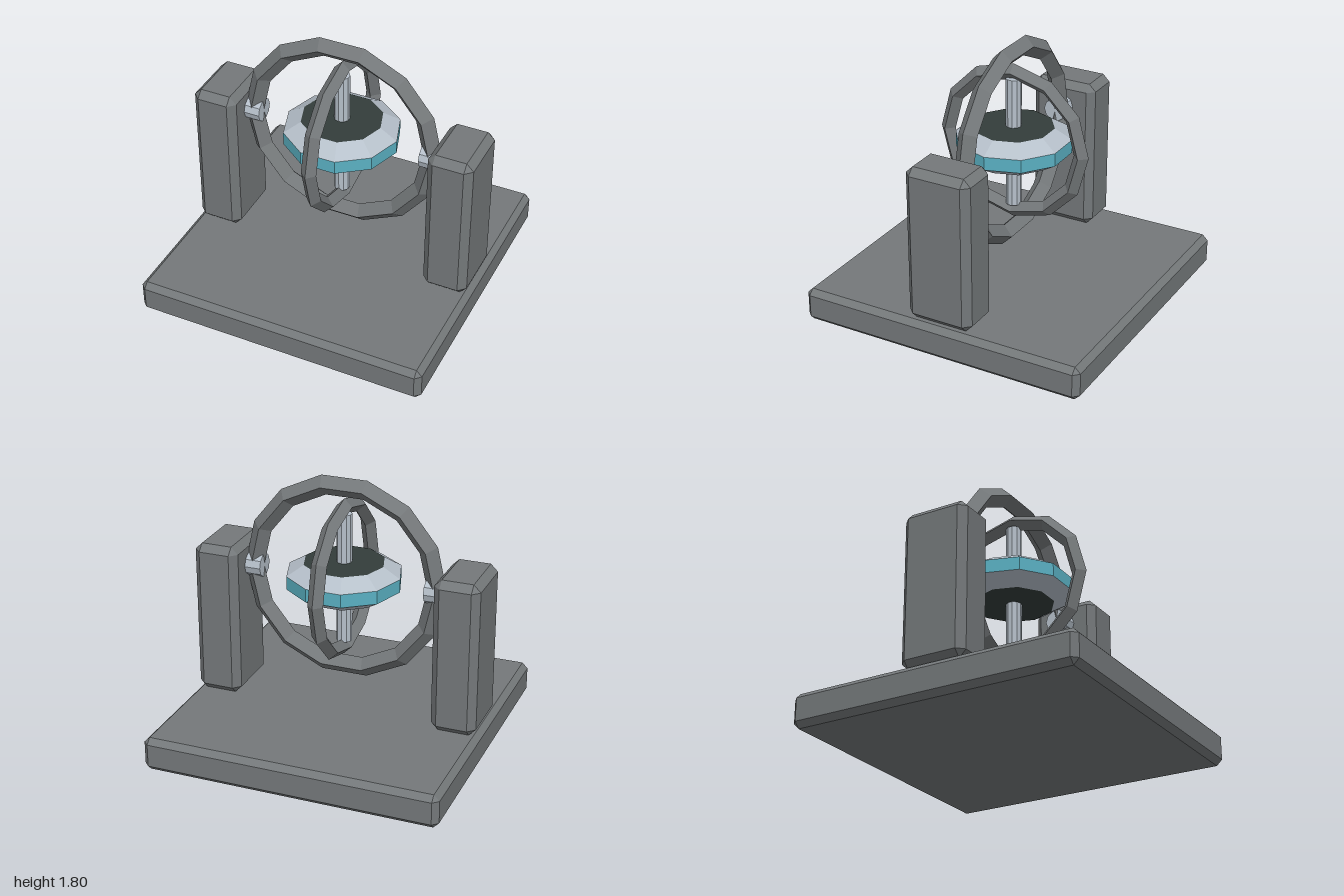
import * as THREE from 'three';
import { ConvexGeometry } from 'three/addons/geometries/ConvexGeometry.js';

const mat = (name, color) => {
  const m = new THREE.MeshStandardMaterial({ color, flatShading: true });
  m.name = name;
  return m;
};

// Box with every edge cut at 45 degrees
function chamferBox(w, h, d, c) {
  const pts = [];
  for (const sx of [-1, 1]) for (const sy of [-1, 1]) for (const sz of [-1, 1]) {
    for (let face = 0; face < 3; face++) {
      const inset = [c, c, c];
      inset[face] = 0;
      pts.push(new THREE.Vector3(
        sx * (w / 2 - inset[0]), sy * (h / 2 - inset[1]), sz * (d / 2 - inset[2])));
    }
  }
  return new ConvexGeometry(pts);
}

export function createModel() {
  const grey = mat('frame grey', 0x74787a);
  const silver = mat('silver', 0xb6c0ca);
  const teal = mat('teal', 0x5ab0c2);
  const dark = mat('dark hub', 0x333d3b);

  const model = new THREE.Group();
  model.name = 'gyroscope';
  const add = (parent, name, geometry, material, x = 0, y = 0, z = 0) => {
    const mesh = new THREE.Mesh(geometry, material);
    mesh.name = name;
    mesh.position.set(x, y, z);
    parent.add(mesh);
    return mesh;
  };
  const centreY = 1.115;

  // Base slab and the two side posts
  add(model, 'base', chamferBox(2, 0.23, 2, 0.038), grey, 0, 0.115, 0);
  for (const s of [-1, 1]) {
    const side = s > 0 ? 'left' : 'right';
    add(model, side + 'Post', chamferBox(0.305, 1.055, 0.456, 0.048), grey, s * 0.826, 0.7575, 0);
    // Pivot pin between post and outer ring
    const pin = new THREE.CylinderGeometry(0.08, 0.08, 0.135, 10).rotateZ(Math.PI / 2);
    add(model, side + 'Pivot', pin, silver, s * 0.634, centreY, 0);
  }

  // Gimbal rings with a diamond section
  add(model, 'outerRing', new THREE.TorusGeometry(0.636, 0.067, 4, 14), grey, 0, centreY, 0);
  add(model, 'innerRing', new THREE.TorusGeometry(0.492, 0.053, 4, 12).rotateY(Math.PI / 2),
    grey, 0, centreY, 0);

  // Rotor: teal rim, silver slopes, dark flat hubs, vertical axle
  const rotor = new THREE.Group();
  rotor.name = 'rotor';
  rotor.position.y = centreY;
  model.add(rotor);
  const R = 0.385, hubR = 0.27, rimY = 0.045, topY = 0.115;
  const turned = (top, bottom, height) =>
    new THREE.CylinderGeometry(top, bottom, height, 10, 1, true, Math.PI / 2);
  add(rotor, 'rim', turned(R, R, rimY * 2), teal);
  for (const s of [-1, 1]) {
    const slope = s > 0 ? turned(hubR, R, topY - rimY) : turned(R, hubR, topY - rimY);
    add(rotor, s > 0 ? 'upperSlope' : 'lowerSlope', slope, silver, 0, s * (rimY + topY) / 2, 0);
    add(rotor, s > 0 ? 'upperHub' : 'lowerHub',
      new THREE.CircleGeometry(hubR, 10).rotateX(-s * Math.PI / 2), dark, 0, s * topY, 0);
  }
  add(rotor, 'axle', new THREE.CylinderGeometry(0.052, 0.052, 0.89, 10), silver);

  return model;
}
